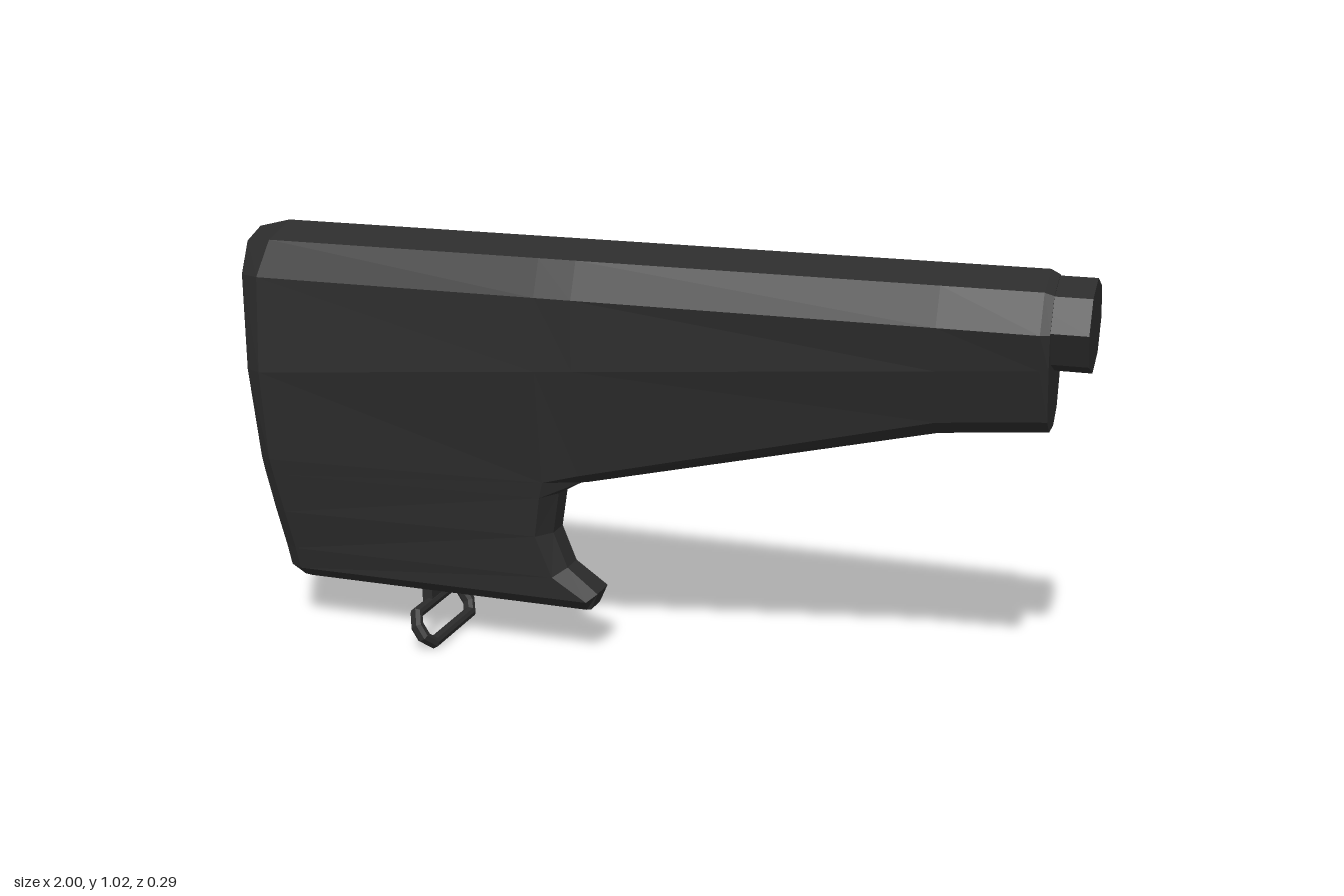
import * as THREE from 'three';

// Mirror half a cross-section over z = 0 to get a closed loop
function mirrorLoop(half) {
  const other = half.filter((p) => p[2] > 0).reverse().map(([x, y, z]) => [x, y, -z]);
  return [...half, ...other];
}

// Skin a series of mirrored cross-sections and cap both ends
function loft(halves) {
  const loops = halves.map(mirrorLoop);
  const n = loops[0].length;
  const pos = [];
  const tri = (a, b, c) => pos.push(...a, ...b, ...c);
  for (let i = 0; i < loops.length - 1; i++) {
    for (let j = 0; j < n; j++) {
      const k = (j + 1) % n;
      const [a, b, c, d] = [loops[i][j], loops[i][k], loops[i + 1][k], loops[i + 1][j]];
      tri(a, b, c);
      tri(a, c, d);
    }
  }
  const centre = (loop) => [0, 1, 2].map((q) => loop.reduce((s, p) => s + p[q], 0) / n);
  const first = loops[0], last = loops[loops.length - 1];
  const c0 = centre(first), c1 = centre(last);
  for (let j = 0; j < n; j++) {
    const k = (j + 1) % n;
    tri(c0, first[k], first[j]);
    tri(c1, last[j], last[k]);
  }
  const g = new THREE.BufferGeometry();
  g.setAttribute('position', new THREE.Float32BufferAttribute(pos, 3));
  g.computeVertexNormals();
  return g;
}

// Rectangle with cut corners
function cutRect(Target, w, h, c) {
  const s = new Target();
  s.setFromPoints([
    [w - c, -h], [w, -h + c], [w, h - c], [w - c, h],
    [-w + c, h], [-w, h - c], [-w, -h + c], [-w + c, -h],
  ].map(([x, y]) => new THREE.Vector2(x, y)));
  s.closePath();
  return s;
}

export function createModel() {
  const model = new THREE.Group();
  model.name = 'shoulderStock';
  const polymer = new THREE.MeshStandardMaterial({ color: 0x2b2b2b, flatShading: true });
  polymer.name = 'blackPolymer';

  const add = (name, geometry) => {
    const m = new THREE.Mesh(geometry, polymer);
    m.name = name;
    model.add(m);
    return m;
  };

  // Upper body: sections from butt to front, each running ridge to underside
  add('upperBody', loft([
    [[-1, 1, 0], [-1, 0.975, 0.065], [-1, 0.9, 0.1], [-0.992, 0.67, 0.113], [-0.975, 0.45, 0.1], [-0.975, 0.45, 0.03]],
    [[-0.92, 1.02, 0], [-0.93, 0.985, 0.085], [-0.95, 0.9, 0.12], [-0.95, 0.67, 0.135], [-0.94, 0.45, 0.125], [-0.94, 0.45, 0.03]],
    [[-0.24, 1.02, 0], [-0.24, 0.985, 0.084], [-0.24, 0.9, 0.119], [-0.24, 0.728, 0.122], [-0.24, 0.45, 0.085], [-0.24, 0.45, 0.03]],
    [[-0.15, 1.02, 0], [-0.15, 0.985, 0.084], [-0.15, 0.9, 0.119], [-0.15, 0.735, 0.12], [-0.15, 0.475, 0.082], [-0.15, 0.445, 0.03]],
    [[0.68, 1.02, 0], [0.68, 0.985, 0.083], [0.68, 0.9, 0.117], [0.68, 0.802, 0.104], [0.68, 0.68, 0.075], [0.68, 0.645, 0.03]],
    [[0.9, 1.02, 0], [0.9, 0.985, 0.082], [0.9, 0.9, 0.117], [0.9, 0.82, 0.1], [0.9, 0.7, 0.07], [0.9, 0.667, 0.03]],
    [[0.92, 1.01, 0], [0.92, 0.978, 0.076], [0.92, 0.9, 0.108], [0.92, 0.82, 0.098], [0.92, 0.7, 0.07], [0.92, 0.668, 0.03]],
  ]));

  // Lower body: sections from the sole upward, each running heel to hooked front
  add('lowerBody', loft([
    [[-0.91, 0.125, 0.03], [-0.89, 0.125, 0.035], [-0.15, 0.125, 0.035], [-0.14, 0.125, 0.03]],
    [[-0.935, 0.155, 0.05], [-0.9, 0.155, 0.07], [-0.14, 0.155, 0.066], [-0.122, 0.168, 0.035]],
    [[-0.941, 0.21, 0.06], [-0.906, 0.21, 0.08], [-0.225, 0.21, 0.07], [-0.2, 0.225, 0.03]],
    [[-0.955, 0.31, 0.08], [-0.92, 0.31, 0.1], [-0.265, 0.31, 0.074], [-0.235, 0.31, 0.03]],
    [[-0.97, 0.41, 0.095], [-0.935, 0.41, 0.118], [-0.25, 0.41, 0.081], [-0.22, 0.41, 0.03]],
    [[-0.975, 0.45, 0.1], [-0.94, 0.45, 0.125], [-0.24, 0.45, 0.085], [-0.15, 0.45, 0.03]],
  ]));

  // Eight-sided tube end at the front
  const tube = add('tubeEnd', new THREE.CylinderGeometry(0.104, 0.104, 0.16, 8));
  tube.rotation.z = -Math.PI / 2;
  tube.position.set(0.92, 0.903, 0);

  // Sling loop, tilted forward under the sole
  const bevel = 0.008;
  const ring = cutRect(THREE.Shape, 0.147 - bevel, 0.054 - bevel, 0.03);
  ring.holes.push(cutRect(THREE.Path, 0.118 + bevel, 0.028 + bevel, 0.02));
  const ringGeometry = new THREE.ExtrudeGeometry(ring, {
    depth: 0.014, bevelEnabled: true, bevelSize: bevel, bevelThickness: bevel, bevelSegments: 1,
  });
  ringGeometry.translate(0, 0, -0.007);
  ringGeometry.rotateY(Math.PI / 2);
  const loop = add('slingLoop', ringGeometry);
  loop.rotation.z = 0.56;
  loop.position.set(-0.545, 0.054, 0);

  // Tang joining the loop to the sole
  const tang = add('slingTang', new THREE.BoxGeometry(0.026, 0.06, 0.07));
  tang.position.set(-0.571, 0.122, 0);

  return model;
}
